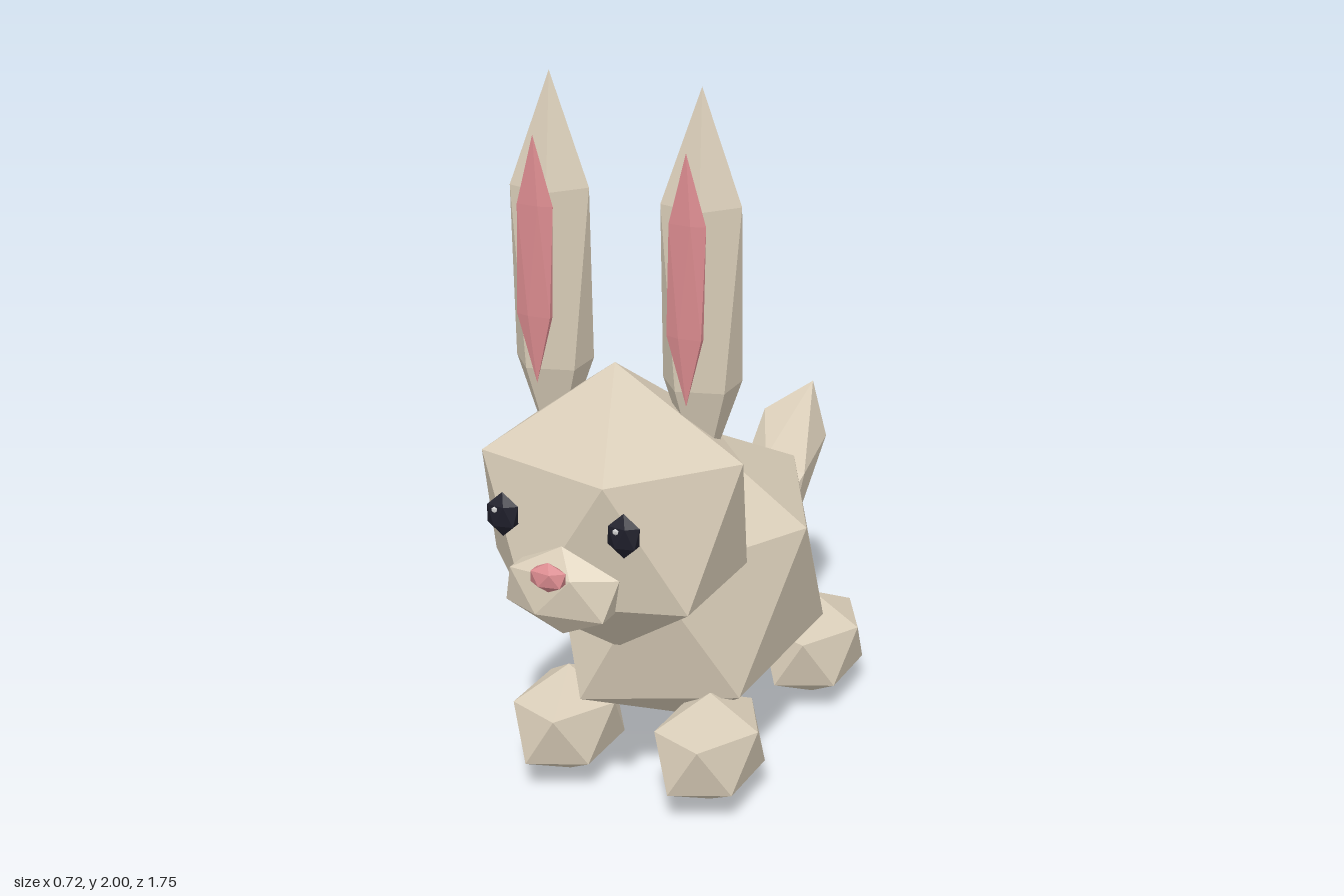
import * as THREE from 'three';
import { ConvexGeometry } from 'three/addons/geometries/ConvexGeometry.js';

// Unit icosahedron standing on a vertex, with one upper ring corner towards +x
function icosahedron() {
  const h = 1 / Math.sqrt(5), r = 2 * h;
  const points = [new THREE.Vector3(0, 1, 0), new THREE.Vector3(0, -1, 0)];
  for (let i = 0; i < 5; i++) {
    const a = (i * 2 * Math.PI) / 5;
    const x = r * Math.cos(a), z = r * Math.sin(a);
    points.push(new THREE.Vector3(x, h, z), new THREE.Vector3(-x, -h, -z));
  }
  return new ConvexGeometry(points);
}

export function createModel() {
  const group = new THREE.Group();
  const geometry = icosahedron();
  const paint = (color) => new THREE.MeshStandardMaterial({ color, flatShading: true });
  const fur = paint(0xd9cdb8), pink = paint(0xd98a8e), dark = paint(0x1e1e2a), white = paint(0xffffff);

  // Every part is a stretched icosahedron
  function blob(name, material, position, radii) {
    const mesh = new THREE.Mesh(geometry, material);
    mesh.name = name;
    mesh.position.set(...position);
    mesh.scale.set(...radii);
    group.add(mesh);
    return mesh;
  }

  // Body, head and face
  blob('body', fur, [0, 0.5, 0], [0.386, 0.44, 0.565]);
  blob('head', fur, [0, 0.875, 0.465], [0.402, 0.4, 0.353]);
  blob('muzzle', fur, [0, 0.765, 0.775], [0.18, 0.12, 0.065]);
  blob('nose', pink, [0, 0.83, 0.85], [0.056, 0.04, 0.03]);

  // Tail, tilted up at the back
  blob('tail', fur, [0, 0.568, -0.6], [0.118, 0.122, 0.365]).rotation.x = 0.71;

  // Paired parts
  for (const [side, s] of [['left', 1], ['right', -1]]) {
    blob(side + 'Ear', fur, [s * 0.212, 1.467, 0.395], [0.122, 0.533, 0.107]);
    blob(side + 'InnerEar', pink, [s * 0.212, 1.525, 0.49], [0.061, 0.33, 0.014]);
    blob(side + 'Eye', dark, [s * 0.17, 0.94, 0.767], [0.05, 0.06, 0.027]);
    blob(side + 'EyeGlint', white, [s * 0.17 - 0.012, 0.957, 0.788], [0.009, 0.009, 0.006]);
    blob(side + 'FrontFoot', fur, [s * 0.213, 0.165, 0.34], [0.157, 0.16, 0.213]);
    blob(side + 'BackFoot', fur, [s * 0.213, 0.165, -0.385], [0.157, 0.16, 0.213]);
  }
  return group;
}
